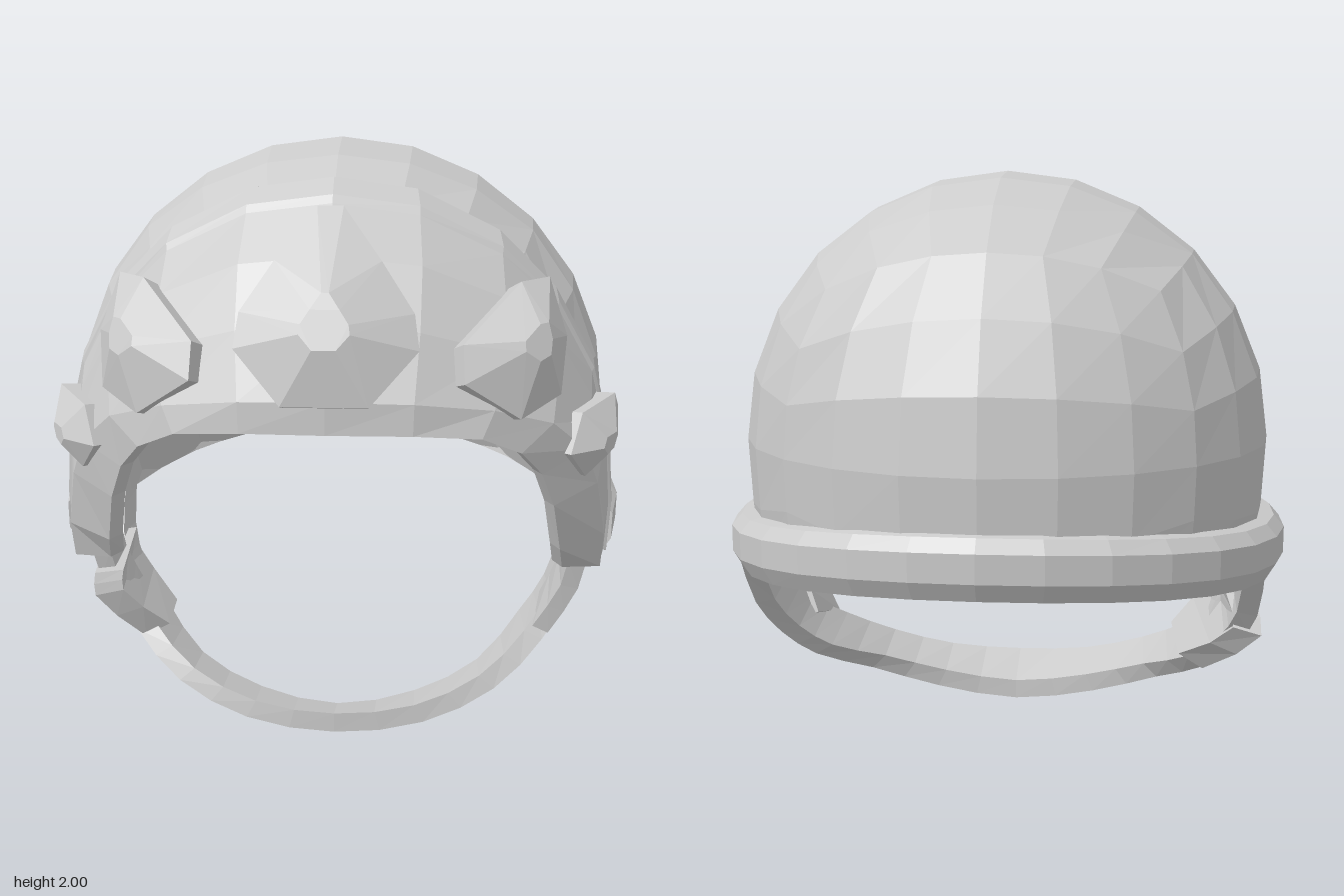
import * as THREE from 'three';
import { ConvexGeometry } from 'three/addons/geometries/ConvexGeometry.js';

const V = (x, y, z) => new THREE.Vector3(x, y, z);
const O = V(0, 1.1, 0); // centre of the dome
const mat = new THREE.MeshStandardMaterial({ color: 0xcccccc, flatShading: true, side: THREE.DoubleSide });

// Scale a point about the dome centre
const radial = (p, k) => p.clone().sub(O).multiplyScalar(k).add(O);
// Put a point at distance R from the dome centre
const toRadius = (p, R) => radial(p, R / p.distanceTo(O));
// Blend two points along the dome surface
const arcMix = (a, b, t) =>
  toRadius(a.clone().lerp(b, t), THREE.MathUtils.lerp(a.distanceTo(O), b.distanceTo(O), t));
// Horizontal dome radius at a height; the lower part stays nearly upright
const ringRadius = (y, R) => {
  const k = (y - O.y) / R;
  return R * Math.sqrt(Math.max(0, 1 - (k > 0 ? 1 : 0.4) * k * k));
};
// Heights of the lower rim, and depth of the brow plate's rear edge
const rimBase = z => 0.65 + (z < 0 ? 0.09 * z * z : 0);
const ridgeZ = y => 0.27 + 0.13 * (y - 0.75);

function meshOf(name, geometry) {
  geometry.computeVertexNormals();
  const m = new THREE.Mesh(geometry, mat);
  m.name = name;
  return m;
}

// Skin a row of closed cross-sections and close both ends
function loft(name, rows) {
  const m = rows[0].length, idx = [], last = (rows.length - 1) * m;
  for (let i = 0; i < rows.length - 1; i++)
    for (let j = 0; j < m; j++) {
      const a = i * m + j, b = i * m + (j + 1) % m;
      idx.push(a, b, b + m, a, b + m, a + m);
    }
  for (let j = 0; j < m / 2 - 1; j++) {
    const q = [j, j + 1, m - 2 - j, m - 1 - j];
    idx.push(q[0], q[2], q[1], q[0], q[3], q[2]);
    idx.push(...[q[0], q[1], q[2], q[0], q[2], q[3]].map(k => k + last));
  }
  const g = new THREE.BufferGeometry().setFromPoints(rows.flat());
  g.setIndex(idx);
  return meshOf(name, g.toNonIndexed());
}

// Dome of square facets, cut along the rim and under the brow plate
function outerShell() {
  const R = 0.9, pts = [];
  const p = new THREE.BoxGeometry(2, 2, 2, 6, 6, 6).toNonIndexed().attributes.position;
  const bend = c => Math.tan(c * Math.PI / 4);
  for (let i = 0; i < p.count; i += 3) {
    const tri = [];
    let cut = 0;
    for (let k = i; k < i + 3; k++) {
      const d = V(bend(p.getX(k)), bend(p.getY(k)), bend(p.getZ(k))).normalize();
      const low = rimBase(d.z * R) + 0.1;
      let y = O.y + d.y * R;
      if (y <= low) { y = low; cut++; }
      const r = ringRadius(y, R), phi = Math.atan2(d.x, d.z), c = Math.cos(phi);
      tri.push(V(r * Math.sin(phi), y, r * c * (c < 0 ? 1.02 : 1))); // slightly longer at the back
    }
    if (cut < 3 && tri.some(v => v.z < ridgeZ(v.y) + 0.02)) pts.push(...tri);
  }
  return meshOf('outerShell', new THREE.BufferGeometry().setFromPoints(pts));
}

// Coarse lining: sloping walls up from the rim and a shallow ceiling
function innerLining() {
  const n = 16, pts = [], apex = V(0, 1.45, 0);
  const ray = i => {
    const phi = i / n * 2 * Math.PI, s = Math.sin(phi), c = Math.cos(phi);
    const r = 0.82 + (c > 0 ? -0.04 : 0.27) * c;
    const wall = V(r * s, 1.22 + 0.08 * Math.abs(c), r * c);
    return { wall, foot: c < 0.4 ? V(0.85 * s, rimBase(c), 0.85 * c) : wall };
  };
  for (let i = 0; i < n; i++) {
    const a = ray(i), b = ray(i + 1);
    pts.push(a.wall, apex, b.wall);
    if (a.foot !== a.wall && b.foot !== b.wall)
      pts.push(a.foot, a.wall, b.wall, a.foot, b.wall, b.foot);
  }
  return meshOf('innerLining', new THREE.BufferGeometry().setFromPoints(pts));
}

// Mirror a half list of [x, y, z] that ends on the centre line
const mirrored = half => [
  ...half.map(a => V(...a)),
  ...half.slice(0, -1).reverse().map(([x, y, z]) => V(-x, y, z)),
];

function browPlate() {
  const rear = mirrored([[.9, .67, .27], [.905, .85, .28], [.88, 1.1, .31], [.81, 1.35, .34],
    [.68, 1.58, .37], [.5, 1.76, .4], [.25, 1.885, .42], [0, 1.92, .43]]);
  const edge = mirrored([[.86, .67, .42], [.86, .8, .46], [.82, 1, .53], [.77, 1.13, .59],
    [.66, 1.24, .68], [.48, 1.31, .79], [.25, 1.35, .875], [0, 1.36, .9]]);
  const lip = mirrored([[.74, .68, .47], [.72, .78, .56], [.685, .96, .64], [.64, 1.08, .69],
    [.57, 1.17, .76], [.45, 1.235, .83], [.25, 1.26, .89], [0, 1.265, .91]]);
  return loft('browPlate', rear.map((a, i) => {
    const b = edge[i], c = lip[i];
    const back = V(c.x * 0.97, c.y - 0.02, c.z - 0.1), inner = radial(a, 0.88);
    const outside = [radial(a, 0.95), radial(a, 1.01), radial(arcMix(a, b, 0.12), 1.01),
      arcMix(a, b, 0.16), arcMix(a, b, 0.42), arcMix(a, b, 0.7), radial(b, 1.01), c];
    const inside = outside.map((_, k) => arcMix(back, inner, k / 7));
    return [...outside, ...inside];
  }));
}

function lowerRim() {
  const profile = [[.84, 0], [.93, 0], [.965, .06], [.965, .15], [.93, .19], [.88, .2]];
  const rows = [];
  for (let i = 0; i <= 18; i++) {
    const phi = THREE.MathUtils.lerp(1.26, 2 * Math.PI - 1.26, i / 18);
    const s = Math.sin(phi), c = Math.cos(phi);
    rows.push(profile.map(([r, h]) => V(r * s, rimBase(c) + h, r * c)));
  }
  return loft('lowerRim', rows);
}

// Faceted stud: base outline, raised shoulder and a small peak
function stud(name, outline, peak, height) {
  const top = V(...peak), pts = [];
  outline.forEach(a => {
    const p = V(...a);
    pts.push(toRadius(p, 0.88), toRadius(p.clone().lerp(top, 0.04), 0.985),
      toRadius(p.clone().lerp(top, 0.75), height));
  });
  return meshOf(name, new ConvexGeometry(pts));
}
const flip = list => list.map(([x, y, z]) => [-x, y, z]);
// Find the missing coordinate of outline points on the stud sphere
const withZ = list => list.map(([x, y]) => [x, y, Math.sqrt(0.97 - x * x - (y - O.y) ** 2)]);
const withX = list => list.map(([z, y]) => [Math.sqrt(0.97 - z * z - (y - O.y) ** 2), y, z]);

// Flat strap between a front and a rear edge, thickened inwards
function strap(name, front, rear, thick) {
  const smooth = list => new THREE.CatmullRomCurve3(list.map(a => V(...a))).getPoints((list.length - 1) * 2);
  const inward = p => p.clone().add(V(-p.x, 0.68 - p.y, 0).normalize().multiplyScalar(thick));
  const ends = smooth(rear);
  return loft(name, smooth(front).map((a, i) => [a, ends[i], inward(ends[i]), inward(a)]));
}

export function createModel() {
  const g = new THREE.Group();
  g.name = 'helmet';
  g.add(outerShell(), innerLining(), browPlate(), lowerRim());

  // Studs across the brow
  g.add(stud('centreStud', withZ([[-.04, 1.88], [.04, 1.88], [.16, 1.74], [.26, 1.6], [.275, 1.5],
    [.13, 1.35], [-.13, 1.35], [-.275, 1.5], [-.26, 1.6], [-.16, 1.74]]), [0, 1.56, .9], 1.04));
  const side = withZ([[.655, 1.65], [.56, 1.655], [.38, 1.51], [.385, 1.4], [.56, 1.275], [.69, 1.32], [.71, 1.48]]);
  const small = withX([[.61, 1.255], [.4, 1.26], [.38, 1.21], [.47, 1.08], [.6, 1.04], [.67, 1.135]]);
  for (const [label, f] of [['left', l => l], ['right', flip]]) {
    g.add(stud(label + 'BrowStud', f(side), f([[.61, 1.5, .73]])[0], 1.04));
    g.add(stud(label + 'TempleStud', f(small), f([[.83, 1.14, .57]])[0], 1.035));
  }

  // Chin strap running from ear to ear
  const chinFront = [[.88, .74, -.13], [.87, .56, 0], [.81, .42, .12], [.71, .31, .26], [.54, .19, .4], [.3, .1, .48]];
  const chinRear = [[.88, .74, -.37], [.87, .51, -.21], [.81, .37, -.1], [.71, .26, 0], [.54, .145, .2], [.3, .05, .29]];
  g.add(strap('chinStrap',
    [...chinFront, [0, .07, .51], ...flip(chinFront).reverse()],
    [...chinRear, [0, 0, .32], ...flip(chinRear).reverse()], 0.07));

  // Forward straps
  const foreFront = [[.85, .74, .34], [.82, .52, .29], [.73, .33, .25]];
  const foreRear = [[.85, .74, .13], [.83, .55, .1], [.77, .38, .06]];
  g.add(strap('leftForwardStrap', foreFront, foreRear, 0.06));
  g.add(strap('rightForwardStrap', flip(foreFront), flip(foreRear), 0.06));

  // Buckle on the right side only
  g.add(strap('buckle',
    [[-.83, .56, .34], [-.83, .48, .35], [-.68, .29, .27]],
    [[-.87, .54, -.08], [-.89, .43, -.17], [-.7, .25, 0]], 0.1));
  return g;
}
